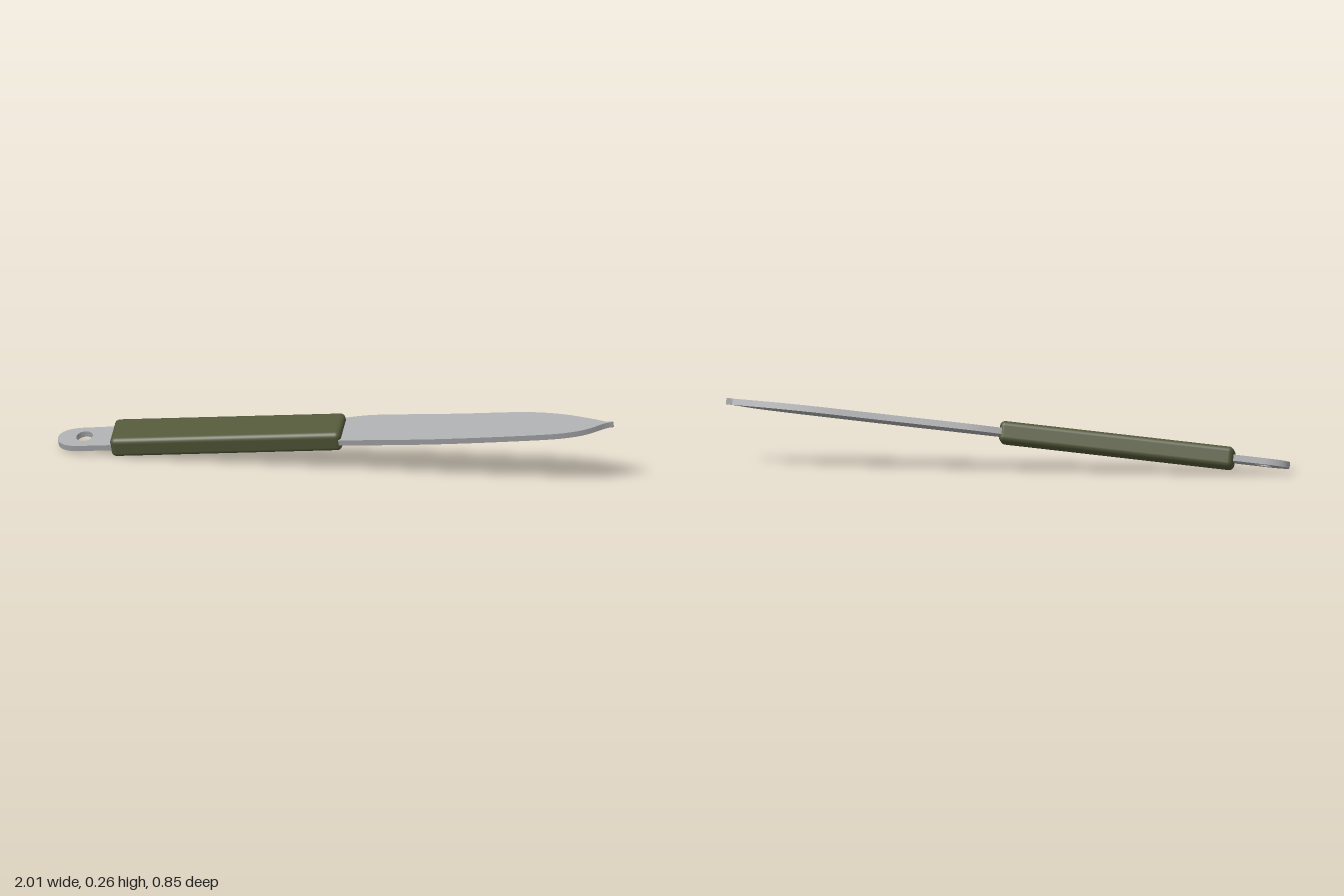
import * as THREE from 'three';
import { RoundedBoxGeometry } from 'three/addons/geometries/RoundedBoxGeometry.js';

const THICKNESS = 0.024;

const pts = (list) => list.map(([x, y]) => new THREE.Vector2(x, y));

// Lays a flat shape into the horizontal plane as a plate of even thickness
function plate(shape) {
  const g = new THREE.ExtrudeGeometry(shape, { depth: THICKNESS, bevelEnabled: false, curveSegments: 14 });
  g.translate(0, 0, -THICKNESS / 2);
  g.rotateX(-Math.PI / 2);
  return g;
}

export function createModel() {
  const steel = new THREE.MeshStandardMaterial({ color: 0xabacae });
  steel.name = 'steel';
  const olive = new THREE.MeshStandardMaterial({ color: 0x535839 });
  olive.name = 'oliveGrip';

  const knife = new THREE.Group();
  knife.name = 'knife';
  const add = (name, geometry, material) => {
    const mesh = new THREE.Mesh(geometry, material);
    mesh.name = name;
    knife.add(mesh);
    return mesh;
  };

  // Blade: cutting edge out to the flicked tip, then back along the spine
  const blade = new THREE.Shape();
  blade.moveTo(0, -0.055);
  blade.splineThru(pts([[0.19, -0.062], [0.405, -0.066], [0.624, -0.063], [0.843, -0.055],
    [0.934, -0.044], [0.996, -0.026], [1.053, 0.006], [1.074, 0.015]]));
  blade.lineTo(1.092, 0.018);
  blade.lineTo(1.089, 0.024);
  blade.lineTo(1.068, 0.02);
  blade.splineThru(pts([[0.994, 0.047], [0.897, 0.076], [0.797, 0.094], [0.691, 0.101],
    [0.475, 0.101], [0.26, 0.106], [0.131, 0.107], [0.04, 0.095], [0, 0.085]]));
  add('blade', plate(blade), steel);

  // Tang: rounded tab with a hanging hole
  const tang = new THREE.Shape();
  tang.moveTo(-0.82, 0.078);
  tang.lineTo(-0.99, 0.073);
  tang.bezierCurveTo(-1.05, 0.069, -1.076, 0.045, -1.076, 0.013);
  tang.bezierCurveTo(-1.076, -0.02, -1.05, -0.046, -0.99, -0.048);
  tang.lineTo(-0.82, -0.048);
  const hole = new THREE.Path();
  hole.absarc(-0.973, 0.016, 0.032, 0, Math.PI * 2, true);
  tang.holes.push(hole);
  add('tang', plate(tang), steel);

  // Handle grip with soft edges
  const handle = add('handle', new RoundedBoxGeometry(0.9, 0.081, 0.155, 4, 0.02), olive);
  handle.position.set(-0.412, 0, -0.018);

  // Resting pose: turned in its own plane, then tipped up toward the back
  knife.rotation.set(0.269, Math.PI / 8, 0);
  knife.position.y = 0.141;

  const model = new THREE.Group();
  model.name = 'model';
  model.add(knife);
  return model;
}
